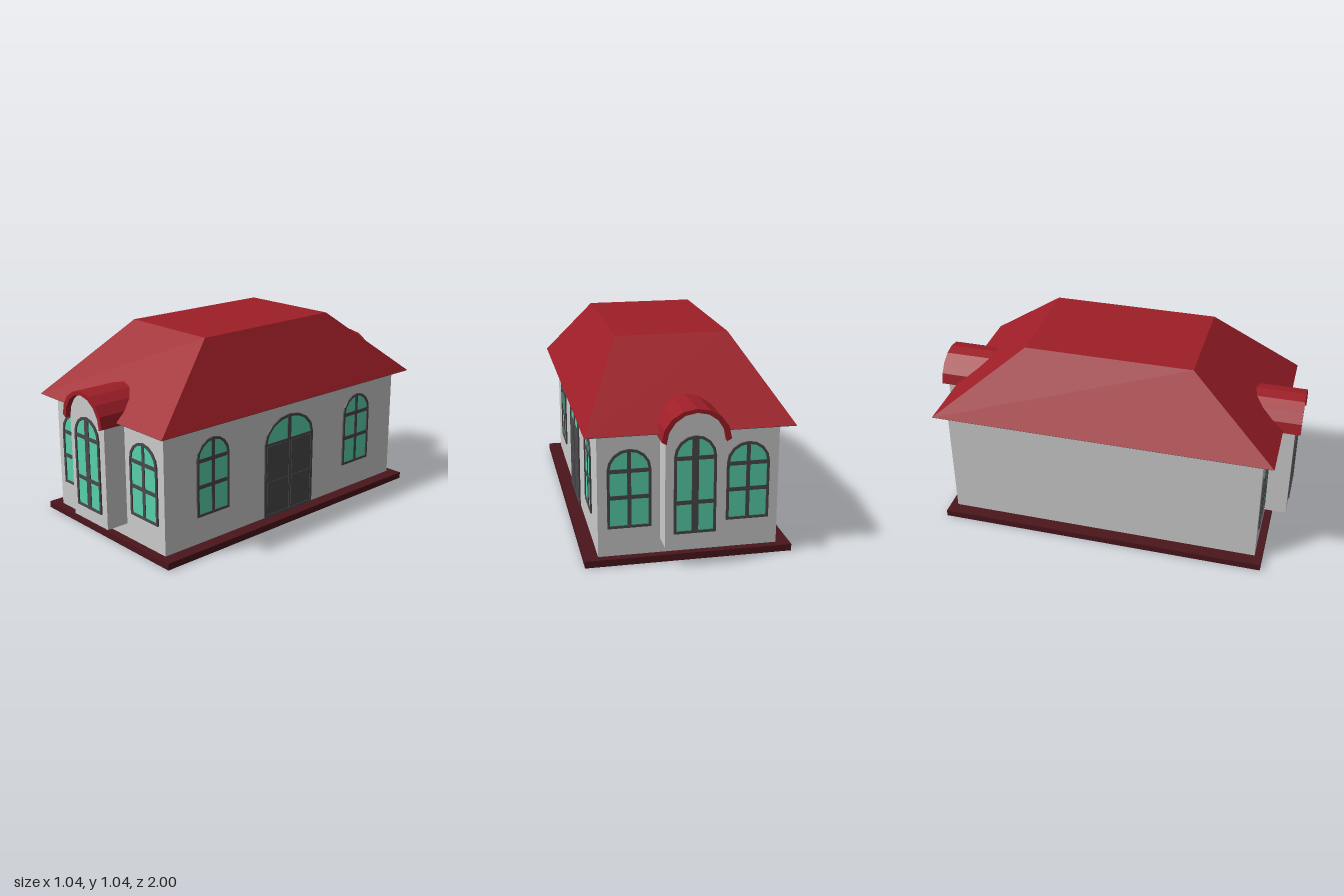
import * as THREE from 'three';

const material = (color, side = THREE.FrontSide) => new THREE.MeshStandardMaterial({ color, side, flatShading: true });
const WALL = material(0xcccccc);
const ROOF = material(0x9e1e27);
const FRAME = material(0x4a4a4c);
const GLASS = material(0x59d2ae, THREE.DoubleSide);
const PLINTH = material(0x4a161c);

function add(parent, name, geometry, mat, x = 0, y = 0, z = 0) {
  const mesh = new THREE.Mesh(geometry, mat);
  mesh.name = name;
  mesh.position.set(x, y, z);
  parent.add(mesh);
  return mesh;
}

// Box given by its x, y and z ranges
function block(parent, name, mat, [x0, x1], [y0, y1], [z0, z1]) {
  return add(parent, name, new THREE.BoxGeometry(x1 - x0, y1 - y0, z1 - z0), mat,
    (x0 + x1) / 2, (y0 + y1) / 2, (z0 + z1) / 2);
}

const extrude = (shape, depth) => new THREE.ExtrudeGeometry(shape, { depth, bevelEnabled: false });

// Faceted half-ellipse, running from right to left
function arc(rx, ry, cy, n = 8) {
  return Array.from({ length: n + 1 }, (_, i) => {
    const a = (Math.PI * i) / n;
    return new THREE.Vector2(rx * Math.cos(a), cy + ry * Math.sin(a));
  });
}

// Outline of an upright opening with an arched head
function archPoints(half, bottom, spring, top) {
  return [new THREE.Vector2(-half, bottom), new THREE.Vector2(half, bottom), ...arc(half, top - spring, spring)];
}

// Arched frame with a glass pane, lying on the local plane z = 0
function archedFrame(name, half, bottom, spring, top, rim) {
  const group = new THREE.Group();
  group.name = name;
  const inner = archPoints(half - rim, bottom + rim, spring, top - rim);
  const outline = new THREE.Shape(archPoints(half, bottom, spring, top));
  outline.holes.push(new THREE.Path(inner));
  add(group, 'frame', extrude(outline, 0.008), FRAME);
  add(group, 'glass', new THREE.ShapeGeometry(new THREE.Shape(inner)), GLASS, 0, 0, 0.002);
  return group;
}

function archedWindow(half, bottom, spring, top, post) {
  const group = archedFrame('window', half, bottom, spring, top, 0.013);
  block(group, 'mullion', FRAME, [-post / 2, post / 2], [bottom + 0.005, top - 0.005], [0, 0.006]);
  for (const y of [0.338, spring - 0.005]) {
    block(group, 'crossbar', FRAME, [-half + 0.005, half - 0.005], [y - 0.01, y + 0.01], [0, 0.006]);
  }
  return group;
}

// Double door with raised panels and a fanlight
function doubleDoor() {
  const group = archedFrame('door', 0.18, 0.035, 0.45, 0.585, 0.014);
  block(group, 'fanlightBar', FRAME, [-0.012, 0.012], [0.44, 0.578], [0, 0.006]);
  for (const s of [-1, 1]) {
    const leaf = block(group, 'leaf', FRAME, [-0.084, 0.084], [0.037, 0.45], [0, 0.005]);
    leaf.position.x = s * 0.0855;
    for (const range of [[0.055, 0.235], [0.262, 0.435]]) {
      const panel = block(group, 'panel', FRAME, [-0.073, 0.073], range, [0.004, 0.008]);
      panel.position.x = s * 0.09;
    }
  }
  return group;
}

// Gable end: two windows either side of a projecting arched bay
function endFacade(name) {
  const group = new THREE.Group();
  group.name = name;
  for (const s of [-1, 1]) {
    const win = archedWindow(0.108, 0.18, 0.477, 0.582, 0.019);
    win.position.set(s * 0.295, 0, 0.85);
    group.add(win);
  }

  const bay = new THREE.Shape(archPoints(0.144, 0.11, 0.642, 0.787));
  add(group, 'bay', extrude(bay, 0.171), WALL, 0, 0, 0.8);
  const bayWindow = archedWindow(0.103, 0.18, 0.565, 0.67, 0.033);
  bayWindow.position.z = 0.971;
  group.add(bayWindow);

  // Curved canopy running back into the roof
  const canopy = new THREE.Shape([...arc(0.167, 0.153, 0.653), ...arc(0.144, 0.147, 0.64).reverse()]);
  add(group, 'bayCanopy', extrude(canopy, 0.32), ROOF, 0, 0, 0.68);
  return group;
}

export function createModel() {
  const model = new THREE.Group();
  model.name = 'house';

  block(model, 'plinth', PLINTH, [-0.52, 0.52], [0, 0.035], [-0.89, 0.89]);
  block(model, 'walls', WALL, [-0.45, 0.45], [0.035, 0.665], [-0.85, 0.85]);

  // Hipped roof: a box with its top corners drawn inwards
  const hip = new THREE.BoxGeometry(1.03, 0.371, 1.82);
  const p = hip.attributes.position;
  for (let i = 0; i < p.count; i++) {
    if (p.getY(i) > 0) {
      p.setX(i, Math.sign(p.getX(i)) * 0.29);
      p.setZ(i, Math.sign(p.getZ(i)) * 0.445);
    }
  }
  hip.computeVertexNormals();
  add(model, 'roof', hip, ROOF, 0, 0.666 + 0.371 / 2, 0);
  block(model, 'eaves', FRAME, [-0.513, 0.513], [0.663, 0.667], [-0.908, 0.908]);

  const front = endFacade('frontFacade');
  const back = endFacade('backFacade');
  back.rotation.y = Math.PI;
  model.add(front, back);

  // Entrance side
  const side = new THREE.Group();
  side.name = 'entranceSide';
  for (const s of [-1, 1]) {
    const win = archedWindow(0.107, 0.18, 0.48, 0.585, 0.019);
    win.position.x = s * 0.54;
    side.add(win);
  }
  side.add(doubleDoor());
  side.rotation.y = Math.PI / 2;
  side.position.x = 0.45;
  model.add(side);

  return model;
}
